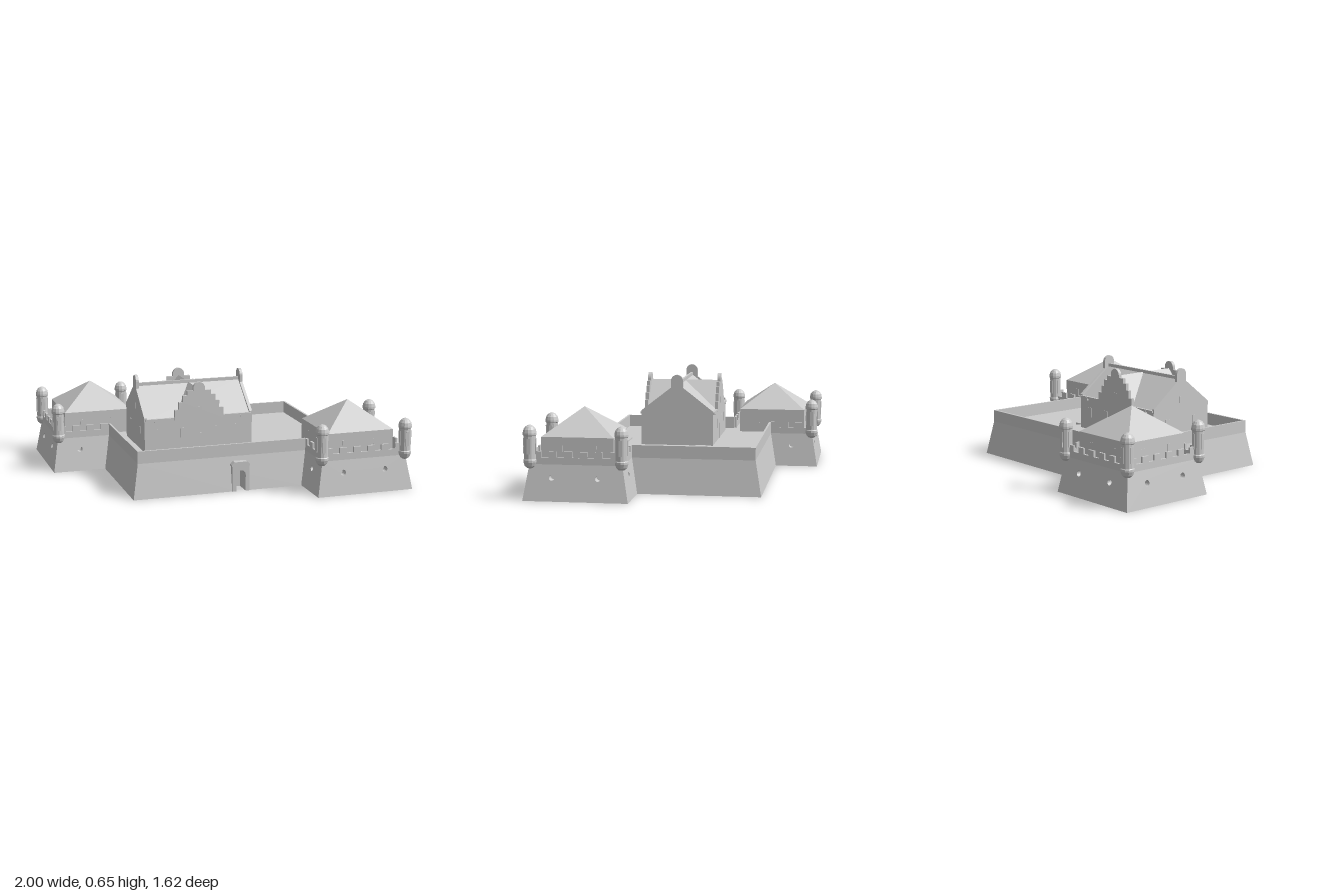
import * as THREE from 'three';

const grey = new THREE.MeshStandardMaterial({ color: 0xcccccc, flatShading: true });
const inner = new THREE.MeshStandardMaterial({ color: 0xcccccc, flatShading: true, side: THREE.BackSide });

const FLOOR = 0.21, WALL_TOP = 0.285, BATTER = 0.037, THICK = 0.013;

// Z-shaped plan at floor level as [x, z]: a court with two diagonal bastions
const plan = [
  [-0.963, -0.773], [-0.425, -0.773], [-0.425, -0.503], [0.663, -0.503], [0.663, 0.23], [0.963, 0.23],
  [0.963, 0.773], [0.425, 0.773], [0.425, 0.493], [-0.633, 0.493], [-0.633, -0.237], [-0.963, -0.237],
];
// Per edge: is it crenellated, and where its gun holes sit (x or z coordinate)
const edges = [
  [5, [-0.825, -0.555]], [3, [-0.64]], [0, []], [0, []], [3, [0.825]], [5, [0.37, 0.64]],
  [5, [0.555, 0.825]], [3, [0.64]], [0, []], [0, []], [3, [-0.825]], [5, [-0.64, -0.37]],
];

function mesh(parent, name, geometry, x = 0, y = 0, z = 0, material = grey) {
  const m = new THREE.Mesh(geometry, material);
  m.name = name;
  m.position.set(x, y, z);
  parent.add(m);
  return m;
}
const box = (parent, name, w, h, d, x, y, z) => mesh(parent, name, new THREE.BoxGeometry(w, h, d), x, y, z);
const poly = pts => new THREE.Shape(pts.map(p => new THREE.Vector2(p[0], p[1])));
const extrude = (shape, depth) =>
  new THREE.ExtrudeGeometry(shape, { depth, bevelEnabled: false, curveSegments: 8 });

// Points of an arch from lower right over the top to lower left
function archPoints(cx, r, spring) {
  const pts = [[cx + r, 0]];
  for (let i = 0; i <= 10; i++) {
    const a = Math.PI * i / 10;
    pts.push([cx + r * Math.cos(a), spring + r * Math.sin(a)]);
  }
  return [...pts, [cx - r, 0]];
}
const GATE = archPoints(-0.004, 0.03, 0.1);

// Outward normal of the edge starting at corner i
function normalOf(i) {
  const a = plan[i], b = plan[(i + 1) % 12];
  const l = Math.hypot(b[0] - a[0], b[1] - a[1]);
  return [(b[1] - a[1]) / l, -(b[0] - a[0]) / l];
}
// Footprint corners: each corner pushed out along both of its edge normals
const base = plan.map((p, i) => {
  const n = normalOf(i), m = normalOf((i + 11) % 12);
  return [p[0] + (n[0] + m[0]) * BATTER, p[1] + (n[1] + m[1]) * BATTER];
});

function buildWalls(group) {
  edges.forEach(([notches, holes], i) => {
    const [nx, nz] = normalOf(i), j = (i + 1) % 12;
    // In wall coordinates u runs to the right as seen from outside
    const u = p => p[0] * nz - p[1] * nx;
    const dist = p => p[0] * nx + p[1] * nz;
    const right = new THREE.Vector3(nz, 0, -nx), out = new THREE.Vector3(nx, 0, nz);
    const slope = BATTER / FLOOR;
    const frame = (upTilt, d) => new THREE.Matrix4()
      .makeBasis(right, new THREE.Vector3(-nx * upTilt, 1, -nz * upTilt), out)
      .setPosition(nx * d, 0, nz * d);

    // Battered lower wall
    const pts = [[u(base[j]), 0]];
    if (i === 8) pts.push(...[...GATE].reverse());
    pts.push([u(base[i]), 0], [u(plan[i]), FLOOR], [u(plan[j]), FLOOR]);
    const shape = poly(pts);
    for (const h of holes) {
      const hu = h * (nx ? -nx : nz);
      shape.holes.push(new THREE.Path().absarc(hu, 0.135, 0.017, 0, Math.PI * 2, true));
      const bore = new THREE.CylinderGeometry(0.017, 0.017, 0.05, 16).rotateX(Math.PI / 2)
        .translate(hu, 0.135, -0.025).applyMatrix4(frame(slope, dist(base[i])));
      mesh(group, 'gunHole', bore, 0, 0, 0, inner);
    }
    mesh(group, 'batteredWall', new THREE.ShapeGeometry(shape, 8).applyMatrix4(frame(slope, dist(base[i]))));

    // Upright parapet, notched on the bastions
    const a = u(plan[j]), b = u(plan[i]), mid = (a + b) / 2;
    const top = [[a, FLOOR], [b, FLOOR], [b, WALL_TOP]];
    for (let k = notches - 1; k >= 0; k--) {
      const c = mid + (k - (notches - 1) / 2) * 0.09;
      top.push([c + 0.022, WALL_TOP], [c + 0.022, 0.25], [c - 0.022, 0.25], [c - 0.022, WALL_TOP]);
    }
    top.push([a, WALL_TOP]);
    mesh(group, 'parapet', extrude(poly(top), THICK).applyMatrix4(frame(0, dist(plan[i]) - THICK)));
  });

  // Court floor and underside (notched at the gate passage)
  mesh(group, 'courtFloor', new THREE.ShapeGeometry(poly(plan.map(p => [p[0], -p[1]]))).rotateX(-Math.PI / 2), 0, FLOOR);
  const under = [...base];
  under.splice(9, 0, [0.026, 0.53], [0.026, 0.43], [-0.034, 0.43], [-0.034, 0.53]);
  mesh(group, 'underside', new THREE.ShapeGeometry(poly(under)).rotateX(Math.PI / 2));
}

function buildGate(group) {
  mesh(group, 'gatePassage', extrude(poly(GATE), 0.075), 0, 0, 0.43, inner);
  const surround = poly([[-0.058, 0], ...[...GATE].reverse(), [0.05, 0], [0.05, 0.155], [0.054, 0.155],
    [0.054, 0.165], [0.036, 0.182], [-0.044, 0.182], [-0.062, 0.165], [-0.062, 0.155], [-0.058, 0.155]]);
  mesh(group, 'gateSurround', extrude(surround, 0.04), 0, 0, 0.496);
}

// Corner turret: rounded foot, slim shaft, domed cap, slit windows
function buildTurret(group, x, z) {
  const g = new THREE.Group();
  g.name = 'turret';
  const profile = [[0, 0.183], [0.018, 0.187], [0.032, 0.2], [0.04, 0.222], [0.04, 0.235], [0.036, 0.24],
    [0.036, 0.375], [0.041, 0.38], [0.041, 0.392], [0.036, 0.412], [0.024, 0.428], [0.01, 0.436], [0, 0.438]];
  mesh(g, 'turretBody', new THREE.LatheGeometry(profile.map(p => new THREE.Vector2(...p)), 12));
  for (let k = 0; k < 4; k++) {
    const a = k * Math.PI / 2;
    box(g, 'turretSlit', 0.02, 0.09, 0.004, 0.0355 * Math.sin(a), 0.315, 0.0355 * Math.cos(a)).rotation.y = a;
  }
  g.position.set(x, 0, z);
  group.add(g);
}

// Square bastion house with a pyramid roof
function buildBastionHouse(group, x, z) {
  const w = 0.425;
  box(group, 'bastionHouse', w, 0.15, w, x, 0.285, z);
  mesh(group, 'pyramidRoof', new THREE.ConeGeometry(w / Math.SQRT2, 0.155, 4).rotateY(Math.PI / 4), x, 0.4375, z);
  for (const s of [-1, 1]) for (const k of [-0.1, 0.1]) {
    box(group, 'bastionWindow', 0.03, 0.045, 0.004, x + k, 0.29, z + s * w / 2);
    box(group, 'bastionWindow', 0.004, 0.045, 0.03, x + s * w / 2, 0.29, z + k);
  }
}

function buildMainHouse(group) {
  const g = new THREE.Group();
  g.name = 'mainHouse';
  const hx = 0.343, hz = 0.225, eave = 0.41;
  box(g, 'houseWalls', 2 * hx, eave - FLOOR, 2 * hz, 0, (eave + FLOOR) / 2, 0);
  // Long roof crossed by a shorter one
  mesh(g, 'mainRoof', extrude(poly([[-hz, eave], [hz, eave], [0, 0.585]]), 2 * hx - 0.02).rotateY(Math.PI / 2), -hx + 0.01);
  mesh(g, 'crossRoof', extrude(poly([[-0.152, eave], [0.152, eave], [0, 0.585]]), 2 * hz), 0, 0, -hz);
  box(g, 'ridgeCap', 2 * hx - 0.02, 0.022, 0.014, 0, 0.588, 0);

  // Straight-sided end gables with a round finial
  const cap = (r, y) => archPoints(0, r, y).slice(1, -1);
  const endGable = poly([[-hz, 0.4], [hz, 0.4], [hz, 0.425], [0.038, 0.57], ...cap(0.038, 0.612), [-0.038, 0.57], [-hz, 0.425]]);
  // Stepped cross gables
  const right = [[0.155, 0.4], [0.155, 0.465], [0.128, 0.465], [0.128, 0.51], [0.104, 0.51], [0.104, 0.55],
    [0.075, 0.55], [0.075, 0.578], [0.037, 0.578]];
  const stepGable = poly([...right, ...cap(0.037, 0.593), ...[...right].reverse().map(p => [-p[0], p[1]])]);
  for (const s of [-1, 1]) {
    mesh(g, 'endGable', extrude(endGable, 0.018).translate(0, 0, -0.009).rotateY(Math.PI / 2), s * (hx - 0.007));
    mesh(g, 'steppedGable', extrude(stepGable, 0.02), 0, 0, s * hz - 0.01);
    // Eaves, spouts, door and windows
    for (const t of [-1, 1]) {
      box(g, 'eavesGutter', 0.18, 0.014, 0.016, t * 0.246, eave, s * hz);
      box(g, 'rainSpout', 0.016, 0.016, 0.02, t * 0.275, 0.402, s * hz);
      box(g, 'houseWindow', 0.032, 0.06, 0.004, t * 0.1, 0.32, s * hz);
      box(g, 'houseWindow', 0.032, 0.06, 0.004, t * 0.25, 0.32, s * hz);
      box(g, 'endWindow', 0.004, 0.06, 0.032, s * hx, 0.32, t * 0.11);
    }
    box(g, 'houseDoor', 0.045, 0.1, 0.006, 0, 0.26, s * hz);
    box(g, 'gableWindow', 0.032, 0.04, 0.004, 0, 0.46, s * (hz + 0.01));
    box(g, 'endGableWindow', 0.004, 0.04, 0.03, s * (hx + 0.002), 0.46, 0);
  }
  g.position.set(-0.185, 0, 0.037);
  group.add(g);
}

export function createModel() {
  const group = new THREE.Group();
  group.name = 'fort';
  buildWalls(group);
  buildGate(group);
  buildMainHouse(group);
  for (const s of [-1, 1]) {
    buildBastionHouse(group, s * 0.691, s * 0.505);
    for (const [x, z] of [[0.959, 0.77], [0.422, 0.77], [0.959, 0.235]]) buildTurret(group, s * x, s * z);
  }
  // Court details: stair hatch and half-round well
  box(group, 'stairHatch', 0.23, 0.008, 0.05, 0.045, FLOOR + 0.004, 0.387);
  mesh(group, 'halfWell', new THREE.CylinderGeometry(0.038, 0.038, 0.012, 12, 1, false, Math.PI, Math.PI), 0.245, FLOOR + 0.006, -0.122);
  return group;
}
